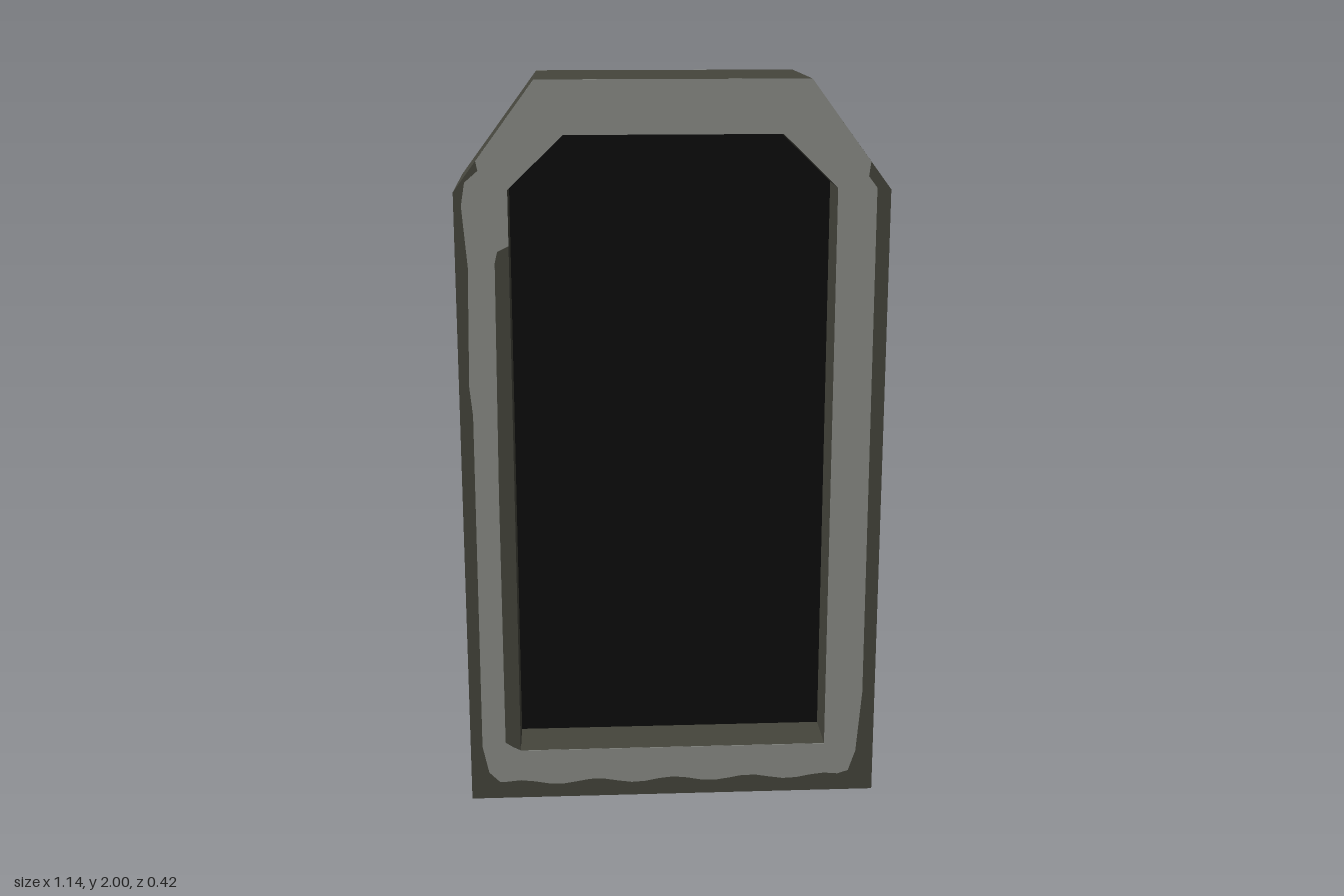
import * as THREE from 'three';

const mat = (name, color) => {
  const m = new THREE.MeshStandardMaterial({ color });
  m.name = name;
  return m;
};
const shapeOf = (pts) => new THREE.Shape(pts.map(([x, y]) => new THREE.Vector2(x, y)));

// Arched outline with clipped top corners
const arch = (half, bottom, shoulder, topHalf, top) => [
  [-half, bottom], [half, bottom], [half, shoulder], [topHalf, top], [-topHalf, top], [-half, shoulder],
];

export function createModel() {
  const darkStone = mat('dark stone', 0x45453c);
  const greyStone = mat('grey stone', 0x8a8c87);
  const black = mat('black', 0x0d0d0d);
  const group = new THREE.Group();
  const FACE = 0.208, SKIN = 0.002;

  const add = (name, shape, z0, z1, material) => {
    const geo = new THREE.ExtrudeGeometry(shape, { depth: z1 - z0, bevelEnabled: false });
    const mesh = new THREE.Mesh(geo, material);
    mesh.name = name;
    mesh.position.z = z0;
    group.add(mesh);
  };

  // Surrounding frame
  const opening = arch(0.43, 0.145, 1.72, 0.285, 1.86);
  const frame = shapeOf(arch(0.57, 0, 1.715, 0.357, 2));
  frame.holes.push(shapeOf(opening));
  add('frame', frame, -FACE, FACE, darkStone);

  // Panel: recessed in front, flush at the back
  add('panel', shapeOf(opening), -FACE - SKIN / 2, 0.065, black);

  // Worn grey facing with a ragged lower edge
  const ragged = [];
  for (let i = 0; i <= 24; i++) {
    const x = -0.47 + (i / 24) * 0.94;
    ragged.push([x, 0.047 + 0.007 * Math.cos(x * 29)]);
  }
  const facing = shapeOf([
    [-0.357, 2], [-0.51, 1.795], [-0.505, 1.77], [-0.54, 1.74], [-0.55, 1.68], [-0.537, 1.52],
    [-0.543, 1.2], [-0.535, 1.12], [-0.537, 0.16], [-0.52, 0.08], [-0.49, 0.05],
    ...ragged,
    [0.5, 0.06], [0.52, 0.12], [0.535, 0.3], [0.533, 1.72], [0.51, 1.75], [0.515, 1.788], [0.357, 2],
  ]);
  // Inner edge, worn away along one side
  facing.holes.push(shapeOf([
    ...opening,
    [-0.43, 1.575], [-0.46, 1.56], [-0.467, 1.53], [-0.472, 0.9], [-0.472, 0.17], [-0.45, 0.155],
  ]));
  add('frontFacing', facing, FACE, FACE + SKIN, greyStone);
  add('backFacing', facing, -FACE - SKIN, -FACE, greyStone);

  return group;
}
